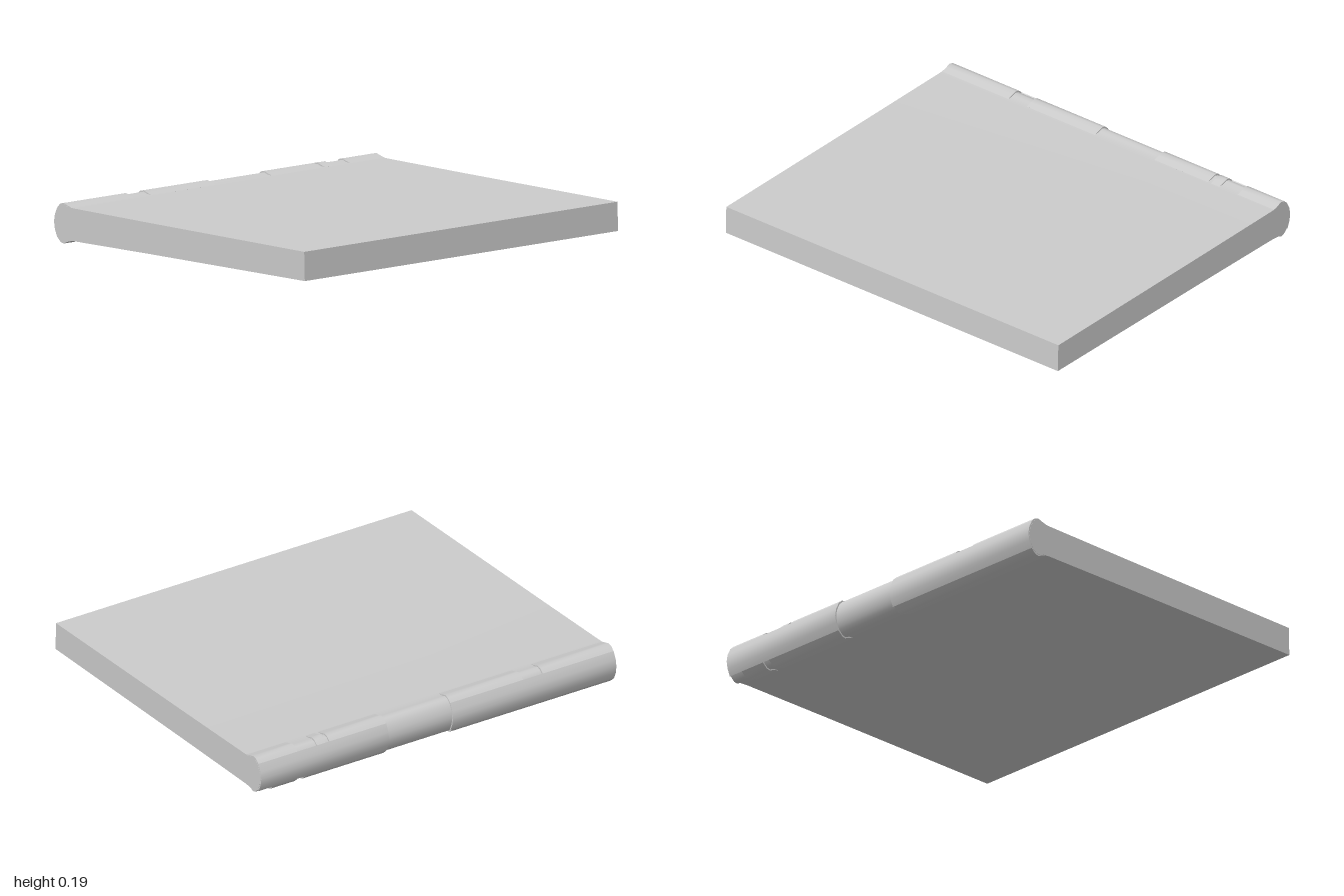
import * as THREE from 'three';
import { toCreasedNormals } from 'three/addons/utils/BufferGeometryUtils.js';

// Rounded spine section, from the lower hinge round the back to the upper hinge
const SPINE = [
  [-0.735, 0.022], [-0.765, 0.014], [-0.79, 0.003], [-0.81, 0.007], [-0.835, 0.03],
  [-0.85, 0.065], [-0.856, 0.1], [-0.85, 0.135], [-0.832, 0.172], [-0.812, 0.19],
  [-0.79, 0.195], [-0.765, 0.187], [-0.735, 0.179],
];
const inset = ([x, y], k) => [-0.76 + (x + 0.76) * k, 0.1 + (y - 0.1) * k];

export function createModel() {
  const book = new THREE.Group();
  book.name = 'book';
  const material = new THREE.MeshStandardMaterial({ color: 0xcccccc });

  // Extrudes a section in x and y between two depths
  function slab(name, points, z0, z1) {
    const shape = new THREE.Shape(points.map(([x, y]) => new THREE.Vector2(x, y)));
    const geometry = new THREE.ExtrudeGeometry(shape, { depth: z1 - z0, bevelEnabled: false });
    geometry.translate(0, 0, z0);
    const mesh = new THREE.Mesh(toCreasedNormals(geometry, 0.55), material);
    mesh.name = name;
    book.add(mesh);
  }

  // Covers, page block and spine core in one tapering section
  const core = SPINE.slice(1, -1).map((p) => inset(p, 0.93));
  slab('bookBody', [
    [0.852, 0.172], [-0.2, 0.175], [-0.72, 0.178], ...core.reverse(), [-0.72, 0.023], [-0.2, 0.028], [0.856, 0.034],
  ].reverse(), -1, 1);

  // Slightly raised strips of the spine covering, with gaps along its length
  const strips = [
    { name: 'lowerSpineStrip', from: 0, to: 4, spans: [[0.09, 0.999], [-0.74, -0.28], [-0.92, -0.78]] },
    { name: 'backSpineStrip', from: 4, to: 8, spans: [[0.08, 0.999], [-0.999, -0.28]] },
    { name: 'upperSpineStrip', from: 8, to: 12, spans: [[0.6, 0.999], [0.08, 0.49], [-0.6, -0.28], [-0.67, -0.62], [-0.999, -0.78]] },
  ];
  for (const { name, from, to, spans } of strips) {
    const outer = SPINE.slice(from, to + 1);
    const inner = outer.map((p) => inset(p, 0.88)).reverse();
    for (const [z0, z1] of spans) slab(name, [...outer, ...inner], z0, z1);
  }
  return book;
}
